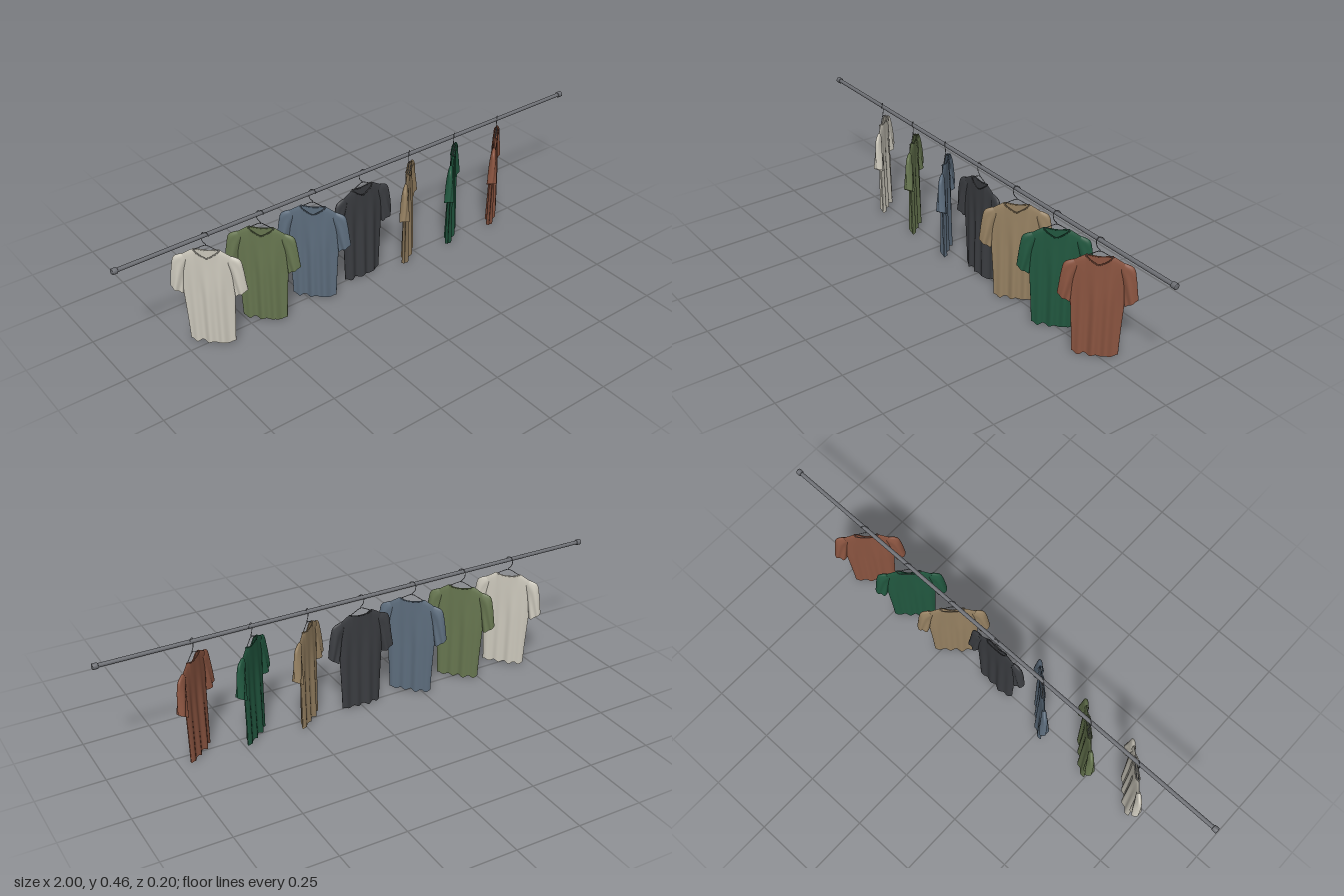
import * as THREE from 'three';

const ROD_Y = 0.45;
const NECK = 0.48; // part of the shoulder width taken by the neck opening
const { lerp, smoothstep } = THREE.MathUtils;

// Closed-loop surface: point(a, v) with a around the loop and v from bottom to top
function loopSurface(point, around, rows) {
  const pos = [], index = [];
  for (let j = 0; j <= rows; j++)
    for (let i = 0; i < around; i++) pos.push(...point((i / around) * Math.PI * 2, j / rows));
  for (let j = 0; j < rows; j++)
    for (let i = 0; i < around; i++) {
      const k = (i + 1) % around;
      const a = j * around + i, b = j * around + k, c = b + around, d = a + around;
      index.push(a, b, c, a, c, d);
    }
  const g = new THREE.BufferGeometry();
  g.setAttribute('position', new THREE.Float32BufferAttribute(pos, 3));
  g.setIndex(index);
  g.computeVertexNormals();
  return g;
}

// Shirt body: front runs left to right, back returns; vertical folds deepen to the hem
function bodyPoint(a, v) {
  const u = -Math.cos(a), front = Math.sin(a) >= 0, n = Math.abs(u);
  const x = u * (0.08 + 0.02 * Math.pow(v, 1.3));
  const k = n / NECK;
  let top = 0.392 - 0.032 * Math.max(0, (n - NECK) / (1 - NECK));
  if (k < 1) top -= front ? 0.033 * (1 - Math.pow(k, 1.3)) : 0.009 * (1 - k * k);
  const hem = 0.006 + 0.004 * Math.cos(u * 13 + (front ? 0 : 1));
  const y = lerp(hem, top, v);
  // the shoulders close, the neck stays open
  const shut = smoothstep(n, NECK * 0.75, NECK);
  const close = lerp(1, Math.sqrt(Math.max(0, 1 - Math.pow(v, 14))), shut);
  const depth = lerp(0.014, 0.0075, v) * close;
  const fade = 1 - smoothstep(v, 0.5, 0.97);
  const fold = (front ? 0.0065 : 0.004) * Math.cos(x * 135 + (front ? 0.9 : 0.2)) * (0.15 + 0.85 * fade);
  const sway = 0.003 * Math.sin(x * 48 + 0.5) * fade;
  const z = Math.sin(a) * depth + fold * Math.abs(Math.sin(a)) * close * (1 - 0.7 * v) + sway;
  return [x, y, z];
}

// Sleeve: sections between an outer and an inner edge, cuff first
const edge = (pts) => new THREE.CatmullRomCurve3(pts.map(([x, y]) => new THREE.Vector3(x, y, 0)));
const outerEdge = edge([[0.135, 0.236], [0.130, 0.275], [0.124, 0.32], [0.114, 0.357], [0.085, 0.371]]);
const innerEdge = edge([[0.090, 0.208], [0.087, 0.24], [0.084, 0.27], [0.080, 0.30], [0.070, 0.345]]);
function sleevePoint(side) {
  return (a, v) => {
    const w = (1 - side * Math.cos(a)) / 2;
    const p = innerEdge.getPoint(v).lerp(outerEdge.getPoint(v), w);
    const loose = 1 - v;
    const fold = 0.0035 * Math.cos(w * 11 + v * 4) * loose;
    const z = Math.sin(a) * lerp(0.006, 0.017, Math.sqrt(loose)) + fold;
    return [side * p.x, p.y + 0.003 * Math.sin(a) * loose, z];
  };
}

// Neckband points follow the top edge of the body
function neckCurve() {
  const a0 = Math.acos(NECK), a1 = Math.PI - a0, pts = [];
  for (const start of [0, Math.PI])
    for (let i = 0; i < 16; i++)
      pts.push(new THREE.Vector3(...bodyPoint(start + lerp(a0, a1, (i + 0.5) / 16), 1)));
  return new THREE.CatmullRomCurve3(pts, true);
}

function wire(points, radius, segments) {
  const curve = new THREE.CatmullRomCurve3(points.map(([x, y]) => new THREE.Vector3(x, y, 0)));
  return new THREE.TubeGeometry(curve, segments, radius, 8);
}

export function createModel() {
  const model = new THREE.Group();
  model.name = 'clothesRail';
  const metal = new THREE.MeshStandardMaterial({ color: 0x6c6e73 });
  const add = (parent, name, geometry, material) => {
    const mesh = new THREE.Mesh(geometry, material);
    mesh.name = name;
    parent.add(mesh);
    return mesh;
  };

  // Rail with an end cap on each side
  const rail = add(model, 'rail', new THREE.CylinderGeometry(0.0075, 0.0075, 1.98, 24), metal);
  rail.rotation.z = Math.PI / 2;
  rail.position.y = ROD_Y;
  const capProfile = [[0, -0.01], [0.009, -0.01], [0.011, -0.008], [0.011, 0.008], [0.009, 0.01], [0, 0.01]];
  const capGeometry = new THREE.LatheGeometry(capProfile.map(([r, y]) => new THREE.Vector2(r, y)), 24);
  for (const side of [-1, 1]) {
    const cap = add(model, side > 0 ? 'leftEndCap' : 'rightEndCap', capGeometry, metal);
    cap.rotation.z = Math.PI / 2;
    cap.position.set(side * 0.99, ROD_Y, 0);
  }

  // Shared shirt and hanger shapes
  const body = loopSurface(bodyPoint, 144, 44);
  const sleeves = [-1, 1].map((side) => loopSurface(sleevePoint(side), 40, 16));
  const neckband = new THREE.TubeGeometry(neckCurve(), 64, 0.0022, 6, true);
  const hook = wire([[0, 0.406], [0, 0.413], [-0.009, 0.423], [-0.013, 0.437], [-0.012, 0.452],
    [-0.004, 0.461], [0.006, 0.46], [0.012, 0.452], [0.012, 0.445]], 0.0014, 40);
  const frame = wire([[-0.095, 0.357], [-0.045, 0.387], [-0.006, 0.408], [0, 0.41],
    [0.006, 0.408], [0.045, 0.387], [0.095, 0.357]], 0.0014, 40);
  const bar = wire([[-0.095, 0.357], [0, 0.355], [0.095, 0.357]], 0.0014, 12);

  // Seven shirts, turned towards the middle of the rail
  const colors = [0xcbc7bb, 0x66754f, 0x5c6c7c, 0x3a3c40, 0x958061, 0x21573f, 0x8a5440];
  colors.forEach((color, i) => {
    const item = new THREE.Group();
    item.name = `hangingShirt${i + 1}`;
    item.position.x = (i - 3) * 0.2185 - 0.002;
    item.rotation.y = Math.sign(i - 3) * 0.76;
    const cloth = new THREE.MeshStandardMaterial({ color, side: THREE.DoubleSide });
    add(item, 'shirtBody', body, cloth);
    add(item, 'rightSleeve', sleeves[0], cloth);
    add(item, 'leftSleeve', sleeves[1], cloth);
    add(item, 'neckband', neckband, cloth);
    add(item, 'hangerHook', hook, metal);
    add(item, 'hangerFrame', frame, metal);
    add(item, 'hangerBar', bar, metal);
    model.add(item);
  });
  return model;
}
